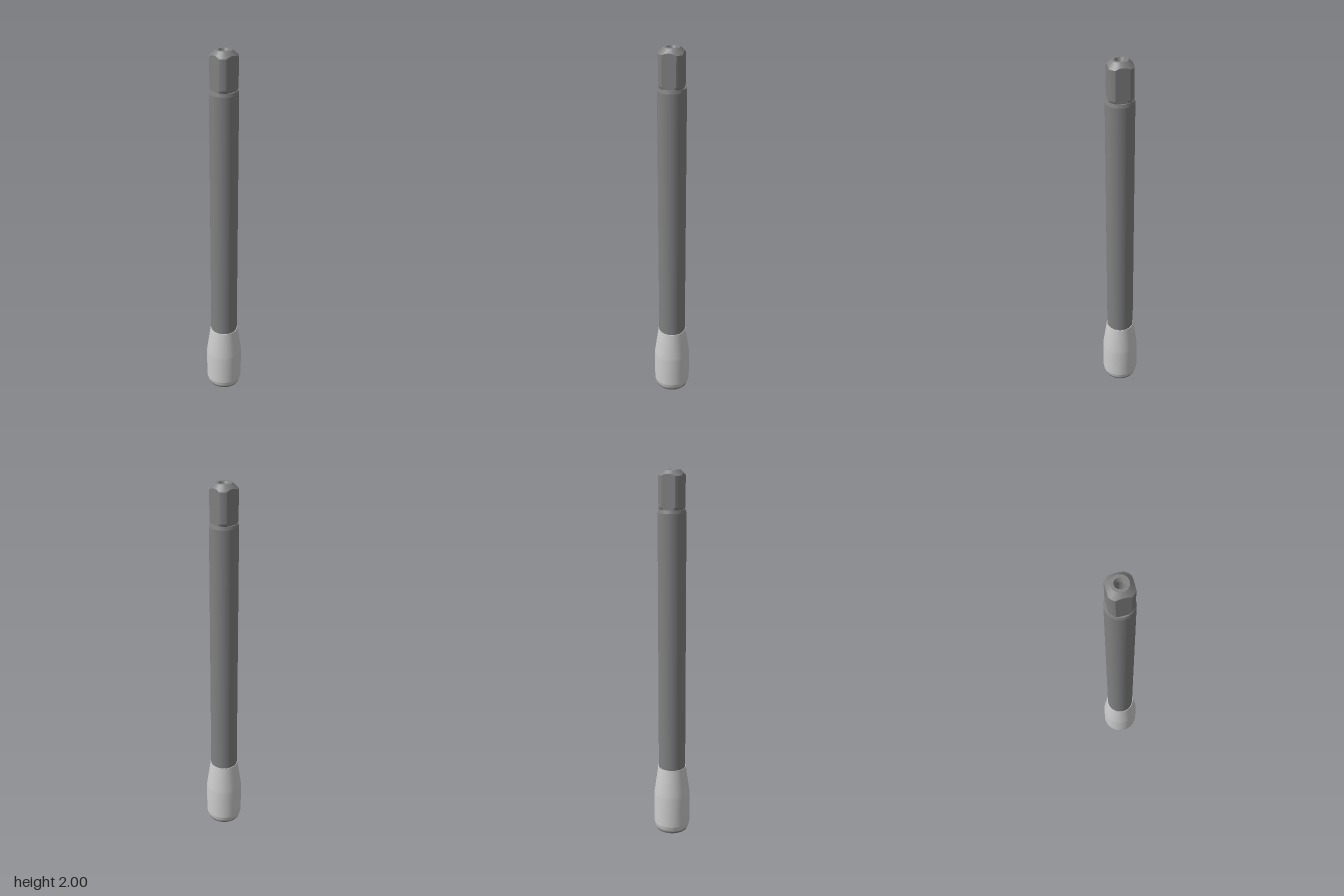
import * as THREE from 'three';
import { toCreasedNormals } from 'three/addons/utils/BufferGeometryUtils.js';

const CREASE = 0.11;
const SEGMENTS = 96;
const BORE = 0.018;

// Revolved part; profile points are [radius, height]
function revolve(name, profile, material) {
  const points = profile.map(([r, y]) => new THREE.Vector2(r, y));
  const geometry = new THREE.LatheGeometry(points, SEGMENTS);
  const mesh = new THREE.Mesh(toCreasedNormals(geometry, CREASE), material);
  mesh.name = name;
  return mesh;
}

// Square drive end: a square bar with turned corners, conical tip and countersunk bore
function squareDrive(material) {
  const half = 0.0616, corner = 0.0713, tip = 0.042;
  const clipped = (a, limit) =>
    Math.min(limit, half / Math.max(Math.abs(Math.cos(a)), Math.abs(Math.sin(a))));

  // Even angles plus the exact edges between flats and corners
  const angles = [];
  for (let i = 0; i <= SEGMENTS; i++) angles.push((i / SEGMENTS) * Math.PI * 2);
  const edge = Math.acos(half / corner);
  for (let q = 0; q < 4; q++) {
    angles.push((q * Math.PI) / 2 + edge, ((q + 1) * Math.PI) / 2 - edge);
  }
  angles.sort((a, b) => a - b);

  // Each row gives radius and height at an angle
  const rows = [
    (a) => [clipped(a, 0.066), 1.8],
    (a) => [clipped(a, corner), 1.815],
    (a) => [clipped(a, corner), 2 - (clipped(a, corner) - tip)],
    () => [tip, 2],
    () => [0.027, 2],
    () => [BORE, 1.98],
  ];
  const positions = [], index = [], n = angles.length;
  for (const row of rows) {
    for (const a of angles) {
      const [r, y] = row(a);
      positions.push(r * Math.sin(a), y, r * Math.cos(a));
    }
  }
  for (let j = 0; j < rows.length - 1; j++) {
    for (let i = 0; i < n - 1; i++) {
      const k = j * n + i;
      index.push(k, k + 1, k + n, k + 1, k + n + 1, k + n);
    }
  }
  const geometry = new THREE.BufferGeometry();
  geometry.setAttribute('position', new THREE.Float32BufferAttribute(positions, 3));
  geometry.setIndex(index);
  const mesh = new THREE.Mesh(toCreasedNormals(geometry, CREASE), material);
  mesh.name = 'squareDrive';
  return mesh;
}

export function createModel() {
  const group = new THREE.Group();
  group.name = 'driveShaft';
  const dark = new THREE.MeshStandardMaterial({ color: 0x808080 });
  const light = new THREE.MeshStandardMaterial({ color: 0xcccccc });

  // Hollow shaft with end flange and chamfered shoulder
  group.add(revolve('shaft', [
    [BORE, 1.98], [BORE, 0], [0.087, 0], [0.09, 0.01], [0.074, 0.01],
    [0.074, 1.785], [0.07, 1.802], [0.058, 1.802],
  ], dark));

  group.add(squareDrive(dark));

  // Tapered sleeve around the lower end
  group.add(revolve('sleeve', [
    [0.074, 0.01], [0.09, 0.01], [0.095, 0.02], [0.1, 0.042],
    [0.1, 0.21], [0.0985, 0.23], [0.077, 0.38], [0.074, 0.38],
  ], light));

  return group;
}
